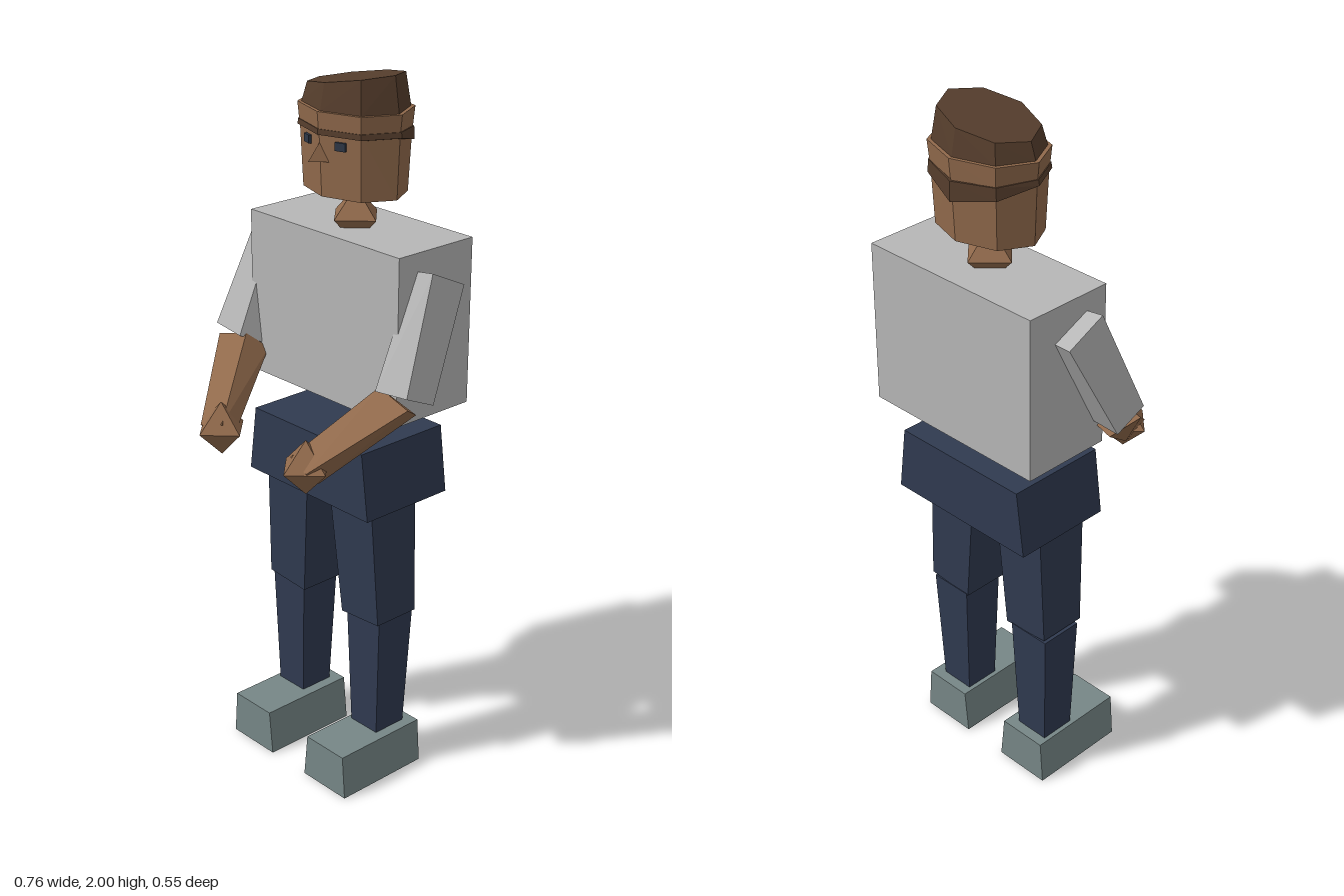
import * as THREE from 'three';
import { ConvexGeometry } from 'three/addons/geometries/ConvexGeometry.js';

const material = (name, color) => {
  const m = new THREE.MeshStandardMaterial({ color });
  m.name = name;
  return m;
};

export function createModel() {
  const shirt = material('shirt grey', 0xb6b6b6);
  const skin = material('skin brown', 0x916a4c);
  const hair = material('hair dark brown', 0x553d2c);
  const trousers = material('trouser navy', 0x303a50);
  const shoe = material('shoe grey green', 0x768686);
  const eye = material('eye slate', 0x2e3746);

  const model = new THREE.Group();
  model.name = 'standingFigure';

  const add = (name, geometry, mat, x = 0, y = 0, z = 0) => {
    const mesh = new THREE.Mesh(geometry, mat);
    mesh.name = name;
    mesh.position.set(x, y, z);
    model.add(mesh);
    return mesh;
  };
  // Faceted solid around corner points; side = -1 mirrors it in x
  const solid = (name, points, mat, side = 1) =>
    add(name, new ConvexGeometry(points.map(([x, y, z]) => new THREE.Vector3(x * side, y, z))), mat);
  // Rectangle corners at height y
  const rect = (y, x0, x1, z0, z1) => [[x0, y, z0], [x1, y, z0], [x1, y, z1], [x0, y, z1]];
  // Eight-sided head ring; the height may depend on the position
  const ring = (rx, rz, height) => Array.from({ length: 8 }, (_, i) => {
    const a = i * Math.PI / 4;
    const x = rx * Math.sin(a), c = Math.cos(a);
    return [x, typeof height === 'function' ? height(x, c) : height, -0.13 + rz * c];
  });

  // Body
  add('torso', new THREE.BoxGeometry(0.574, 0.462, 0.265), shirt, 0, 1.351, -0.145);
  solid('hips', [...rect(0.845, -0.24, 0.24, -0.255, 0.042), ...rect(1.035, -0.215, 0.215, -0.255, 0.042)], trousers);
  add('neck', new THREE.OctahedronGeometry(0.078), skin, 0, 1.606, -0.132);

  // Head, hair and the band of hair dipping at the back
  solid('face', [...ring(0.156, 0.119, 1.68), ...ring(0.164, 0.129, 1.86)], skin);
  solid('brow', [...ring(0.164, 0.13, 1.85), ...ring(0.17, 0.135, 1.905)], skin);
  const dip = (front, back) => (x, c) => c < -0.9 ? back : c < -0.5 ? (front + back) / 2 : front;
  solid('hairBand', [...ring(0.171, 0.134, dip(1.845, 1.79)), ...ring(0.168, 0.133, dip(1.86, 1.845))], hair);
  solid('hair', [...ring(0.159, 0.125, 1.904), ...ring(0.143, 0.111, x => 1.975 + 0.175 * x)], hair);
  solid('nose', [[0, 1.825, -0.004], [-0.025, 1.775, -0.014], [0.025, 1.775, -0.014], [0, 1.78, 0.036]], skin);

  for (const side of [1, -1]) {
    const label = side > 0 ? 'left' : 'right';
    const eyePlate = add(label + 'Eye', new THREE.BoxGeometry(0.03, 0.022, 0.008), eye, side * 0.062, 1.821, -0.0185);
    eyePlate.rotation.y = side * 0.31;

    // Arm
    solid(label + 'Sleeve', [
      [0.34, 1.54, -0.08], [0.34, 1.485, -0.196], [0.27, 1.53, -0.08], [0.27, 1.48, -0.19],
      [0.378, 1.243, 0.042], [0.378, 1.2, -0.055], [0.27, 1.235, 0.049], [0.237, 1.195, -0.042],
    ], shirt, side);
    solid(label + 'Forearm', [
      [0.376, 1.21, 0.035], [0.335, 1.165, -0.037], [0.265, 1.24, 0.03], [0.24, 1.19, -0.03],
      [0.215, 1.04, 0.238], [0.2, 0.99, 0.18], [0.14, 1.06, 0.225], [0.135, 1.03, 0.18],
    ], skin, side);
    add(label + 'Hand', new THREE.OctahedronGeometry(0.077), skin, side * 0.172, 1.034, 0.2);

    // Leg
    solid(label + 'Thigh', [
      ...rect(0.85, 0.047, 0.212, -0.165, 0),
      [0.08, 0.49, -0.16], [0.225, 0.5, -0.16], [0.225, 0.5, -0.017], [0.08, 0.49, -0.017],
    ], trousers, side);
    const shift = side > 0 ? -0.009 : 0.009;
    solid(label + 'Shin', [
      ...rect(0.13, 0.105, 0.208, -0.147, -0.042), ...rect(0.495, 0.092, 0.222, -0.162, -0.034),
    ], trousers, side).position.x = -0.009;
    solid(label + 'Shoe', [
      ...rect(0, 0.07, 0.24, -0.178, 0.118), ...rect(0.13, 0.083, 0.23, -0.178, 0.118),
    ], shoe, side);
  }
  return model;
}
